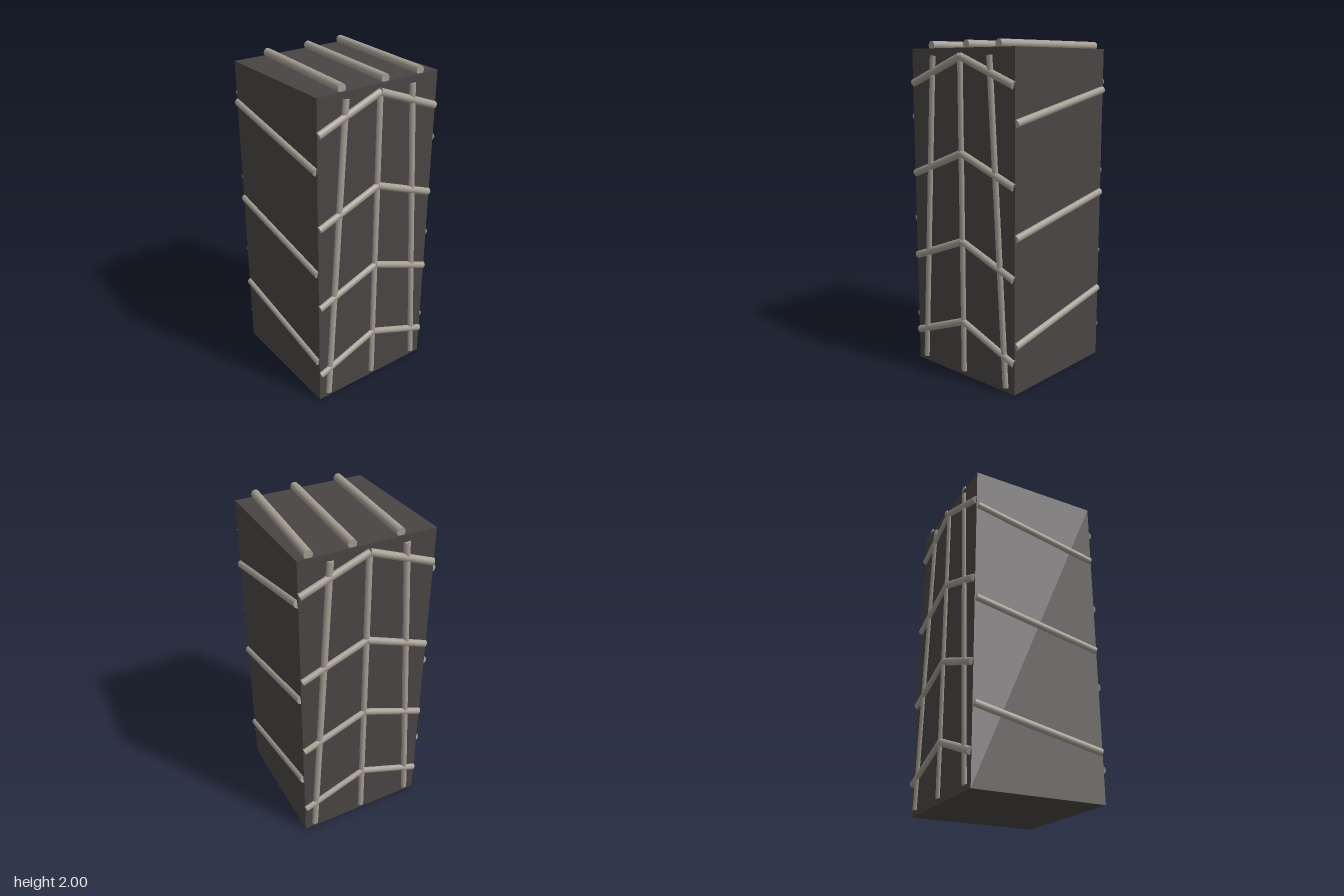
import * as THREE from 'three';

export function createModel() {
  const model = new THREE.Group();
  const stone = new THREE.MeshStandardMaterial({ color: 0x4a4545 });
  const vein = new THREE.MeshStandardMaterial({ color: 0xa39d93 });
  const up = new THREE.Vector3(0, 1, 0);

  // Straight round rod between two points
  function rod(parent, name, a, b, radius) {
    const start = new THREE.Vector3(...a);
    const dir = new THREE.Vector3(...b).sub(start);
    const mesh = new THREE.Mesh(new THREE.CylinderGeometry(radius, radius, dir.length(), 16), vein);
    mesh.name = name;
    mesh.position.copy(start).addScaledVector(dir, 0.5);
    mesh.quaternion.setFromUnitVectors(up, dir.normalize());
    parent.add(mesh);
  }

  // Square pillar
  const pillar = new THREE.Mesh(new THREE.BoxGeometry(0.814, 1.957, 0.814), stone);
  pillar.name = 'pillar';
  pillar.position.y = 1.957 / 2;
  model.add(pillar);

  // Front and back lattices: a centre rod, two leaning rods and four chevrons
  for (const side of [1, -1]) {
    const lattice = new THREE.Group();
    lattice.name = side > 0 ? 'frontLattice' : 'backLattice';
    const zUpright = side * 0.402;
    const zChevron = side * 0.405;
    rod(lattice, 'centreRod', [0, 0.03, zUpright], [0, 1.915, zUpright], 0.021);
    for (const s of [1, -1]) {
      rod(lattice, 'leaningRod', [s * 0.34, 0.03, zUpright], [s * 0.225, 1.915, zUpright], 0.022);
      for (const y of [0.193, 0.69, 1.212, 1.756]) {
        rod(lattice, 'chevronArm', [s * 0.4, y, zChevron], [0, y + 0.154, zChevron], 0.023);
      }
    }
    model.add(lattice);
  }

  // Left and right sides: three rods rising towards the back
  for (const s of [1, -1]) {
    const group = new THREE.Group();
    group.name = s > 0 ? 'leftSideRods' : 'rightSideRods';
    for (const y of [0.294, 0.924, 1.555]) {
      rod(group, 'sideRod', [s * 0.405, y, 0.4], [s * 0.405, y + 0.159, -0.4], 0.023);
    }
    model.add(group);
  }

  // Slanting rods across the top
  const topRods = new THREE.Group();
  topRods.name = 'topRods';
  for (const x of [-0.245, 0.04, 0.285]) {
    rod(topRods, 'topRod', [x, 1.975, 0.4], [x + 0.055, 1.975, -0.4], 0.025);
  }
  model.add(topRods);

  return model;
}
